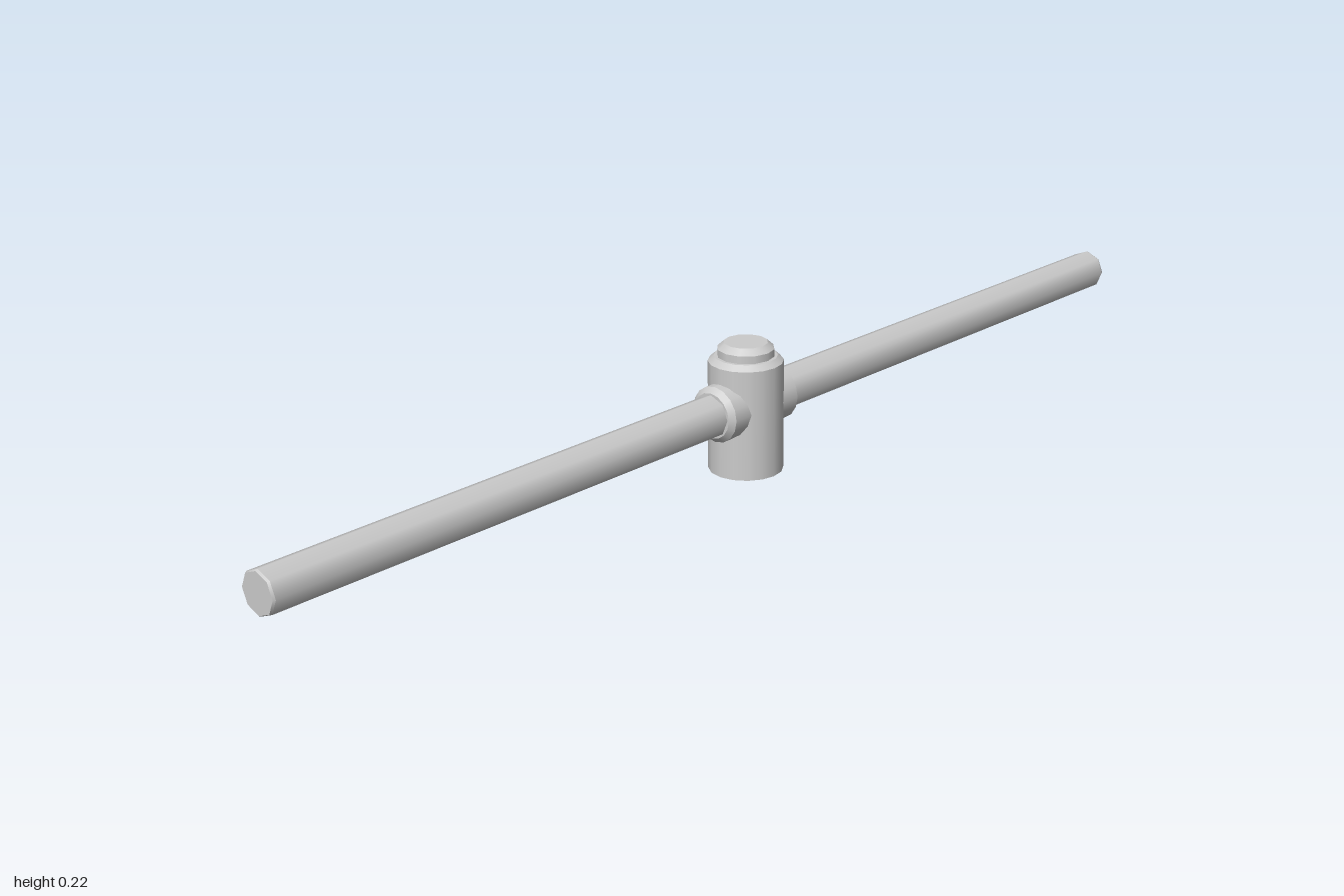
import * as THREE from 'three';
import { mergeGeometries } from 'three/addons/utils/BufferGeometryUtils.js';

const material = new THREE.MeshStandardMaterial({ color: 0xcccccc });

// Turned part: smooth around its axis, crisp between profile segments.
function turned(name, profile, sides) {
  const bands = [];
  for (let i = 0; i < profile.length - 1; i++) {
    const pair = [profile[i], profile[i + 1]].map(([r, y]) => new THREE.Vector2(r, y));
    bands.push(new THREE.LatheGeometry(pair, sides));
  }
  const mesh = new THREE.Mesh(mergeGeometries(bands), material);
  mesh.name = name;
  return mesh;
}

export function createModel() {
  const group = new THREE.Group();
  group.name = 'crossRodHub';
  const axisY = 0.115;

  // Upright hub with a chamfered shoulder
  group.add(turned('hub', [[0, 0], [0.063, 0], [0.063, 0.19], [0.053, 0.199], [0, 0.199]], 16));

  // Cap on top of the hub
  group.add(turned('cap', [[0.048, 0.195], [0.048, 0.212], [0.037, 0.222], [0, 0.222]], 12));

  // Horizontal rod through the hub
  const rod = turned('rod', [[0, -1], [0.034, -1], [0.036, -0.996],
    [0.036, 0.996], [0.034, 1], [0, 1]], 8);
  rod.rotation.x = Math.PI / 2;
  rod.position.y = axisY;
  group.add(rod);

  // Chamfered collars where the rod enters, front and back
  for (const side of [1, -1]) {
    const collar = turned(side > 0 ? 'frontCollar' : 'backCollar',
      [[0.048, 0], [0.048, 0.076], [0.039, 0.085], [0, 0.085]], 16);
    collar.rotation.x = side * Math.PI / 2;
    collar.position.y = axisY;
    group.add(collar);
  }
  return group;
}
